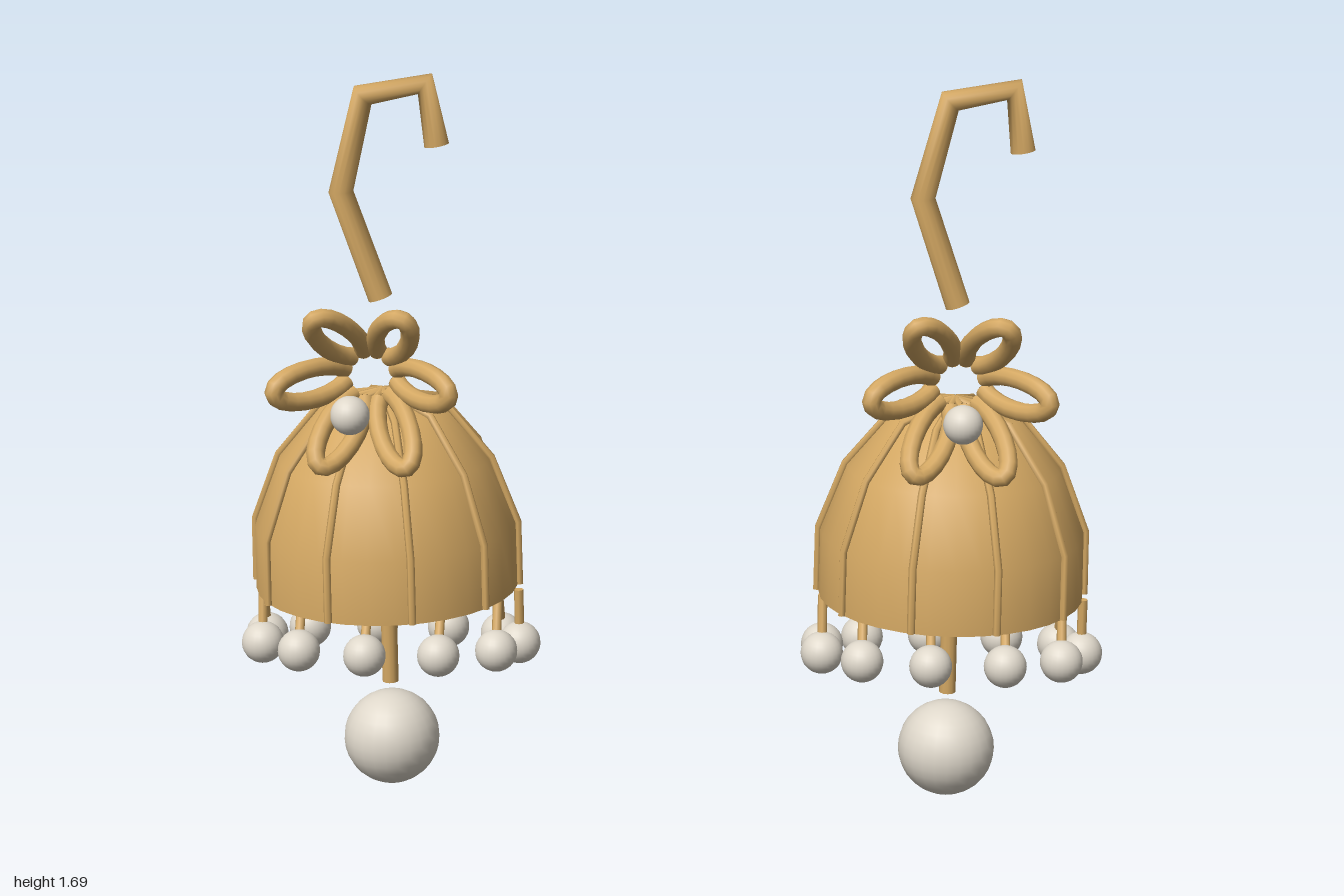
import * as THREE from 'three';

const gold = new THREE.MeshStandardMaterial({ color: 0xd4a863, side: THREE.DoubleSide });
gold.name = 'gold';
const pearl = new THREE.MeshStandardMaterial({ color: 0xded7ca });
pearl.name = 'pearl';

const V = (x, y, z) => new THREE.Vector3(x, y, z);

// Curve sampled exactly at its corner points, so a tube keeps its bends crisp
class Polyline extends THREE.Curve {
  constructor(points) { super(); this.points = points; }
  index(u) { return Math.round(u * (this.points.length - 1)); }
  getPoint(u) { return this.points[this.index(u)].clone(); }
  getPointAt(u) { return this.getPoint(u); }
  getTangentAt(u) {
    const p = this.points, i = this.index(u), t = V(0, 0, 0);
    if (i > 0) t.add(p[i].clone().sub(p[i - 1]).normalize());
    if (i < p.length - 1) t.add(p[i + 1].clone().sub(p[i]).normalize());
    return t.normalize();
  }
}

function add(parent, name, geometry, material, position) {
  const mesh = new THREE.Mesh(geometry, material);
  mesh.name = name;
  if (position) mesh.position.copy(position);
  parent.add(mesh);
  return mesh;
}

const ball = (parent, name, r, pos) =>
  add(parent, name, new THREE.SphereGeometry(r, 24, 16), pearl, pos);

// Bent round wire with flat end caps
function wire(parent, name, points, r, sides = 10) {
  const curve = new Polyline(points), n = points.length - 1;
  add(parent, name, new THREE.TubeGeometry(curve, n, r, sides), gold);
  for (const u of [0, 1]) {
    const out = curve.getTangentAt(u).multiplyScalar(u ? 1 : -1);
    const cap = add(parent, name + 'End', new THREE.CircleGeometry(r, sides), gold, points[u * n]);
    cap.quaternion.setFromUnitVectors(V(0, 0, 1), out);
  }
}

function createEarring() {
  const g = new THREE.Group();
  g.name = 'earring';

  // Ear hook
  wire(g, 'hook', [V(0, 1.18, 0), V(-0.083, 1.424, 0), V(-0.028, 1.643, 0),
    V(0.112, 1.67, 0), V(0.135, 1.532, 0)], 0.028, 14);

  // Open bell dome with ten ribs
  const profile = [[0.303, 0.5], [0.301, 0.65], [0.242, 0.805], [0.143, 0.925], [0, 0.962]];
  add(g, 'dome', new THREE.LatheGeometry(profile.map(([r, y]) => new THREE.Vector2(r, y)), 32), gold);
  for (let i = 0; i < 10; i++) {
    const a = i * Math.PI / 5;
    wire(g, 'rib', profile.map(([r, y]) => {
      const q = r ? r + 0.004 : 0;
      return V(q * Math.cos(a), y + 0.002, q * Math.sin(a));
    }), 0.009, 6);
  }

  // Flower of six looped petals opening forward
  const flower = new THREE.Group();
  flower.name = 'flower';
  flower.position.set(0, 1.045, 0.115);
  g.add(flower);
  const loop = [];
  for (let i = 0; i <= 16; i++) {
    const t = 0.4 + (2 * Math.PI - 0.8) * i / 16;
    const s = (1 - Math.cos(t)) / 2;
    loop.push(V(0.052 + 0.14 * s, 0.036 * Math.sin(t), 0.045 + 0.165 * Math.pow(s, 0.85)));
  }
  for (let i = 0; i < 6; i++) {
    const petal = new THREE.Group();
    petal.name = 'petal';
    petal.rotation.z = i * Math.PI / 3;
    wire(petal, 'petalLoop', loop, 0.021);
    flower.add(petal);
  }
  ball(flower, 'flowerPearl', 0.042, V(0, 0, 0.377));

  // Eleven dangling pearls on slanted pins
  for (let i = 0; i < 11; i++) {
    const a = i * 2 * Math.PI / 11;
    const x = 0.305 * Math.cos(a), z = 0.11 * Math.sin(a);
    wire(g, 'danglePin', [V(x, 0.487, 0), V(x, 0.37, z)], 0.011, 8);
    ball(g, 'danglePearl', 0.049, V(x, 0.357, z));
  }

  // Central stem and large drop pearl
  wire(g, 'stem', [V(0, 0.255, 0), V(0, 0.475, 0)], 0.019, 12);
  ball(g, 'dropPearl', 0.112, V(0, 0.117, 0));

  // Flower is placed from the model origin in z, so shift it with the dome axis
  g.position.z = -0.115;
  return g;
}

export function createModel() {
  const model = new THREE.Group();
  model.name = 'earrings';
  for (const [name, x] of [['rightEarring', -0.657], ['leftEarring', 0.645]]) {
    const earring = createEarring();
    earring.name = name;
    earring.position.x = x;
    model.add(earring);
  }
  return model;
}
